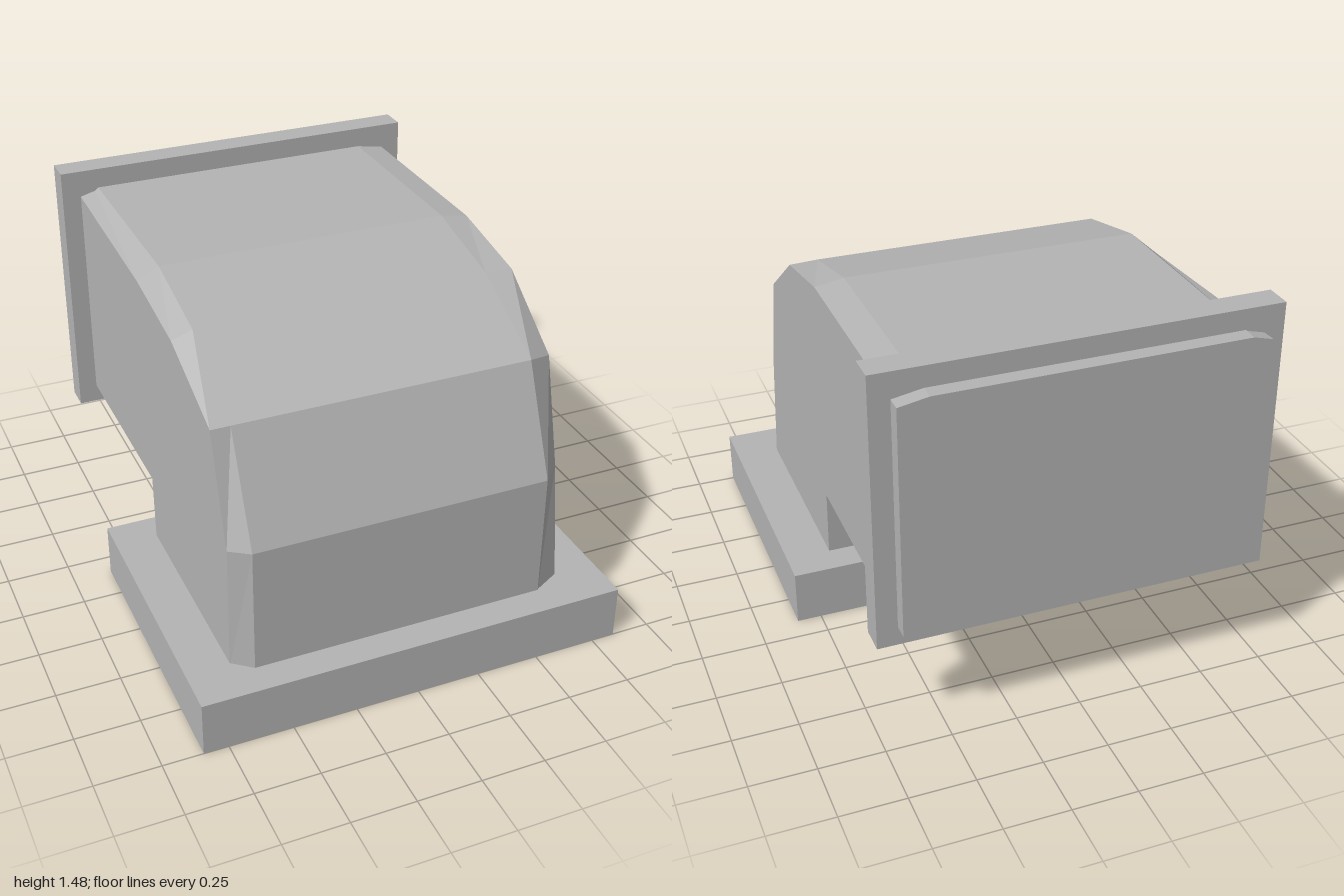
import * as THREE from 'three';

export function createModel() {
  const model = new THREE.Group();
  const grey = new THREE.MeshStandardMaterial({ color: 0xb4b4b4, flatShading: true });
  grey.name = 'plain grey';

  const addBox = (name, w, h, d, x, y, z) => {
    const mesh = new THREE.Mesh(new THREE.BoxGeometry(w, h, d), grey);
    mesh.name = name;
    mesh.position.set(x, y, z);
    model.add(mesh);
  };

  // Duct stations from the base round the bend to the outlet, as [z, y]:
  // inner corner, left crown edge (-x), crown, right crown edge (+x)
  const stations = [
    { inner: [-0.03, 0.2], neg: [0.82, 0.2], crown: [0.88, 0.2], pos: [0.82, 0.2] },
    { inner: [-0.04, 0.485], neg: [0.83, 0.72], crown: [0.88, 0.72], pos: [0.75, 0.68] },
    { inner: [-0.04, 0.485], neg: [0.7, 1.135], crown: [0.7, 1.135], pos: [0.64, 1.1] },
    { inner: [-0.04, 0.485], neg: [0.31, 1.28], crown: [0.33, 1.32], pos: [0.33, 1.315] },
    { inner: [-0.04, 0.485], neg: [-0.08, 1.335], crown: [-0.04, 1.4], pos: [-0.04, 1.38] },
    { inner: [-1, 0.485], neg: [-1, 1.38], crown: [-1, 1.4], pos: [-1, 1.38] },
  ];
  const rings = stations.map(({ inner, neg, crown, pos }) => [
    [-0.675, inner], [-0.675, neg], [-0.6, crown],
    [0.56, crown], [0.672, pos], [0.672, inner],
  ].map(([x, [z, y]]) => new THREE.Vector3(x, y, z)));

  // Skin between neighbouring stations, skipping collapsed triangles
  const points = [];
  const tri = (a, b, c) => {
    if (!a.equals(b) && !b.equals(c) && !c.equals(a)) points.push(a, b, c);
  };
  for (let s = 0; s < rings.length - 1; s++) {
    const r = rings[s], n = rings[s + 1];
    for (let j = 0; j < 6; j++) {
      const k = (j + 1) % 6;
      tri(r[j], r[k], n[k]);
      tri(r[j], n[k], n[j]);
    }
  }
  // Closed ends
  const first = rings[0], last = rings[rings.length - 1];
  for (let k = 1; k < 5; k++) {
    tri(first[0], first[k + 1], first[k]);
    tri(last[0], last[k], last[k + 1]);
  }
  const geometry = new THREE.BufferGeometry().setFromPoints(points);
  geometry.computeVertexNormals();
  const duct = new THREE.Mesh(geometry, grey);
  duct.name = 'elbowDuct';
  model.add(duct);

  // Base plinth and outlet flange
  addBox('basePlinth', 1.69, 0.217, 1.152, 0, 0.1085, 0.424);
  addBox('outletFlange', 1.5, 1.07, 0.107, 0, 0.945, -0.886);

  return model;
}
